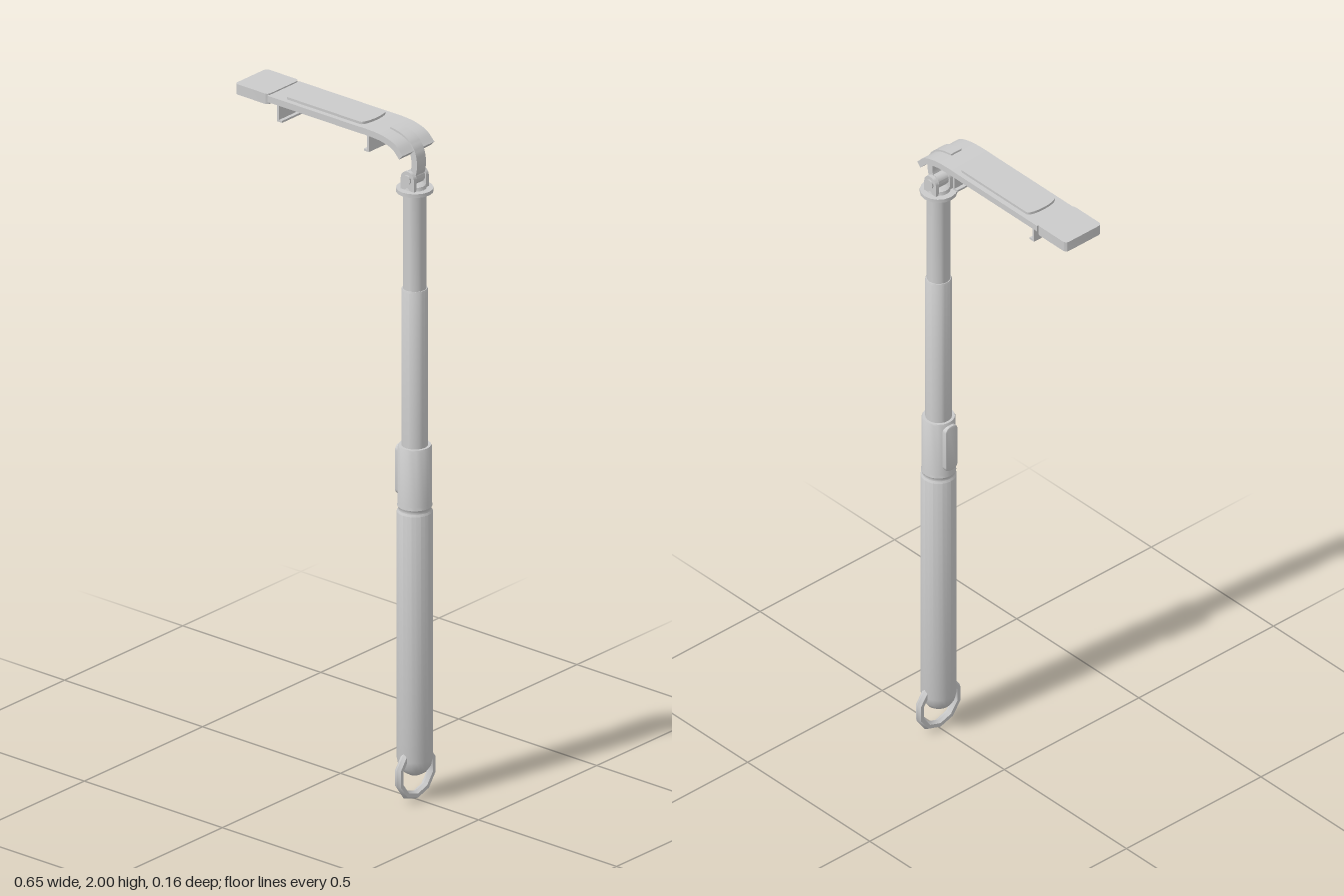
import * as THREE from 'three';
import { toCreasedNormals } from 'three/addons/utils/BufferGeometryUtils.js';

const grey = new THREE.MeshStandardMaterial({ color: 0xcccccc, side: THREE.DoubleSide });
const AX = 0.269; // pole axis

export function createModel() {
  const root = new THREE.Group();

  const add = (name, geo, x = 0, y = 0, z = 0, parent = root) => {
    const m = new THREE.Mesh(toCreasedNormals(geo, 0.6), grey);
    m.name = name;
    m.position.set(x, y, z);
    parent.add(m);
    return m;
  };
  const lathe = (pts, sides = 24) =>
    new THREE.LatheGeometry(pts.map(p => new THREE.Vector2(...p)), sides);

  // Extrude an xy outline, centred on z
  const slab = (shape, depth, bevel = 0) => {
    const g = new THREE.ExtrudeGeometry(shape, {
      depth: depth - 2 * bevel, bevelEnabled: bevel > 0, bevelSize: bevel,
      bevelThickness: bevel, bevelOffset: -bevel, bevelSegments: 2, curveSegments: 8,
    });
    return g.translate(0, 0, -depth / 2 + bevel);
  };
  const roundRect = (w, h, r) => {
    const s = new THREE.Shape(), a = w / 2, b = h / 2;
    s.moveTo(-a + r, -b);
    s.lineTo(a - r, -b); s.quadraticCurveTo(a, -b, a, -b + r);
    s.lineTo(a, b - r); s.quadraticCurveTo(a, b, a - r, b);
    s.lineTo(-a + r, b); s.quadraticCurveTo(-a, b, -a, b - r);
    s.lineTo(-a, -b + r); s.quadraticCurveTo(-a, -b, -a + r, -b);
    return s;
  };
  // Strip of even thickness along a centre line
  const strip = (pts, t) => {
    const c = new THREE.CatmullRomCurve3(pts.map(p => new THREE.Vector3(p[0], p[1], 0)), false, 'centripetal');
    const top = [], low = [];
    for (let i = 0; i <= 28; i++) {
      const p = c.getPoint(i / 28), d = c.getTangent(i / 28);
      top.push(new THREE.Vector2(p.x - d.y * t / 2, p.y + d.x * t / 2));
      low.unshift(new THREE.Vector2(p.x + d.y * t / 2, p.y - d.x * t / 2));
    }
    return new THREE.Shape([...top, ...low].reverse());
  };

  // Handle grip with rounded foot, and the collar section above it
  add('handleGrip', lathe([[0, 0.072], [0.018, 0.076], [0.034, 0.086], [0.045, 0.102], [0.05, 0.125],
    [0.05, 0.862], [0.046, 0.868], [0.046, 0.874], [0.049, 0.88], [0.047, 0.89],
    [0.047, 1.056], [0.045, 1.06], [0, 1.06]]), AX);

  // Telescopic tubes
  add('middleTube', lathe([[0.037, 1.05], [0.037, 1.525], [0.035, 1.53], [0, 1.53]]), AX);
  add('upperTube', lathe([[0.033, 1.52], [0.033, 1.825], [0, 1.825]]), AX);
  add('topFlange', lathe([[0, 1.819], [0.052, 1.819], [0.052, 1.83], [0, 1.83]], 16), AX);

  // Button on the handle
  const button = add('button', slab(roundRect(0.046, 0.15, 0.022), 0.022, 0.004), 0.225, 0.977);
  button.rotation.y = -Math.PI / 2;

  // Wrist ring through the foot of the handle
  const ring = add('wristRing', new THREE.TorusGeometry(0.071, 0.012, 6, 10), AX + 0.002, 0.083);
  ring.geometry.rotateZ(Math.PI / 2).rotateY(Math.PI / 2);

  // Hinge: base, two ears and a cross pin
  const hinge = new THREE.Group();
  hinge.name = 'hinge';
  root.add(hinge);
  add('hingeBase', lathe([[0.034, 1.828], [0.031, 1.84], [0.02, 1.846], [0, 1.846]], 16), AX, 0, 0, hinge);
  const ear = new THREE.Shape();
  ear.moveTo(-0.024, 1.83);
  ear.lineTo(0.024, 1.83);
  ear.lineTo(0.024, 1.862);
  ear.absarc(0, 1.862, 0.024, 0, Math.PI, false);
  ear.lineTo(-0.024, 1.83);
  for (const s of [-1, 1]) {
    add('hingeEar', slab(ear, 0.011), AX, 0, s * 0.026, hinge);
    add('pinHead', new THREE.CylinderGeometry(0.014, 0.014, 0.006, 12).rotateX(Math.PI / 2),
      AX, 1.862, s * 0.033, hinge);
  }
  add('hingeKnuckle', new THREE.CylinderGeometry(0.022, 0.022, 0.036, 16).rotateX(Math.PI / 2),
    AX, 1.864, 0, hinge);

  // Narrow neck following the bend down to the hinge
  add('neck', slab(strip([[0.195, 1.986], [0.225, 1.981], [0.255, 1.968], [0.275, 1.945],
    [0.283, 1.915], [0.281, 1.885], [0.272, 1.862]], 0.02), 0.038));

  // Wide holder plate with curved end
  add('holderPlate', slab(strip([[-0.208, 1.983], [-0.05, 1.983], [0.1, 1.983], [0.165, 1.983],
    [0.21, 1.979], [0.25, 1.966], [0.276, 1.941]], 0.019), 0.134));

  // Thick end block
  const block = add('endBlock', slab(roundRect(0.12, 0.134, 0.014), 0.031), -0.266, 1.981);
  block.rotation.x = -Math.PI / 2;

  // Raised pad with bowed ends
  const pad = new THREE.Shape();
  pad.moveTo(-0.132, -0.052);
  pad.lineTo(0.132, -0.052);
  pad.bezierCurveTo(0.143, -0.05, 0.147, -0.02, 0.147, 0);
  pad.bezierCurveTo(0.147, 0.02, 0.143, 0.05, 0.132, 0.052);
  pad.lineTo(-0.132, 0.052);
  pad.bezierCurveTo(-0.143, 0.05, -0.147, 0.02, -0.147, 0);
  pad.bezierCurveTo(-0.147, -0.02, -0.143, -0.05, -0.132, -0.052);
  const padMesh = add('gripPad', slab(pad, 0.012), -0.016, 1.994);
  padMesh.rotation.x = -Math.PI / 2;

  // Hooked clips below the plate, facing each other
  for (const [x, s] of [[-0.179, 1], [0.146, -1]]) {
    const clip = new THREE.Group();
    clip.name = 'clip';
    root.add(clip);
    add('clipWall', new THREE.BoxGeometry(0.007, 0.06, 0.11), x, 1.949, 0, clip);
    add('clipLip', new THREE.BoxGeometry(0.015, 0.006, 0.11), x + s * 0.007, 1.922, 0, clip);
  }
  return root;
}
